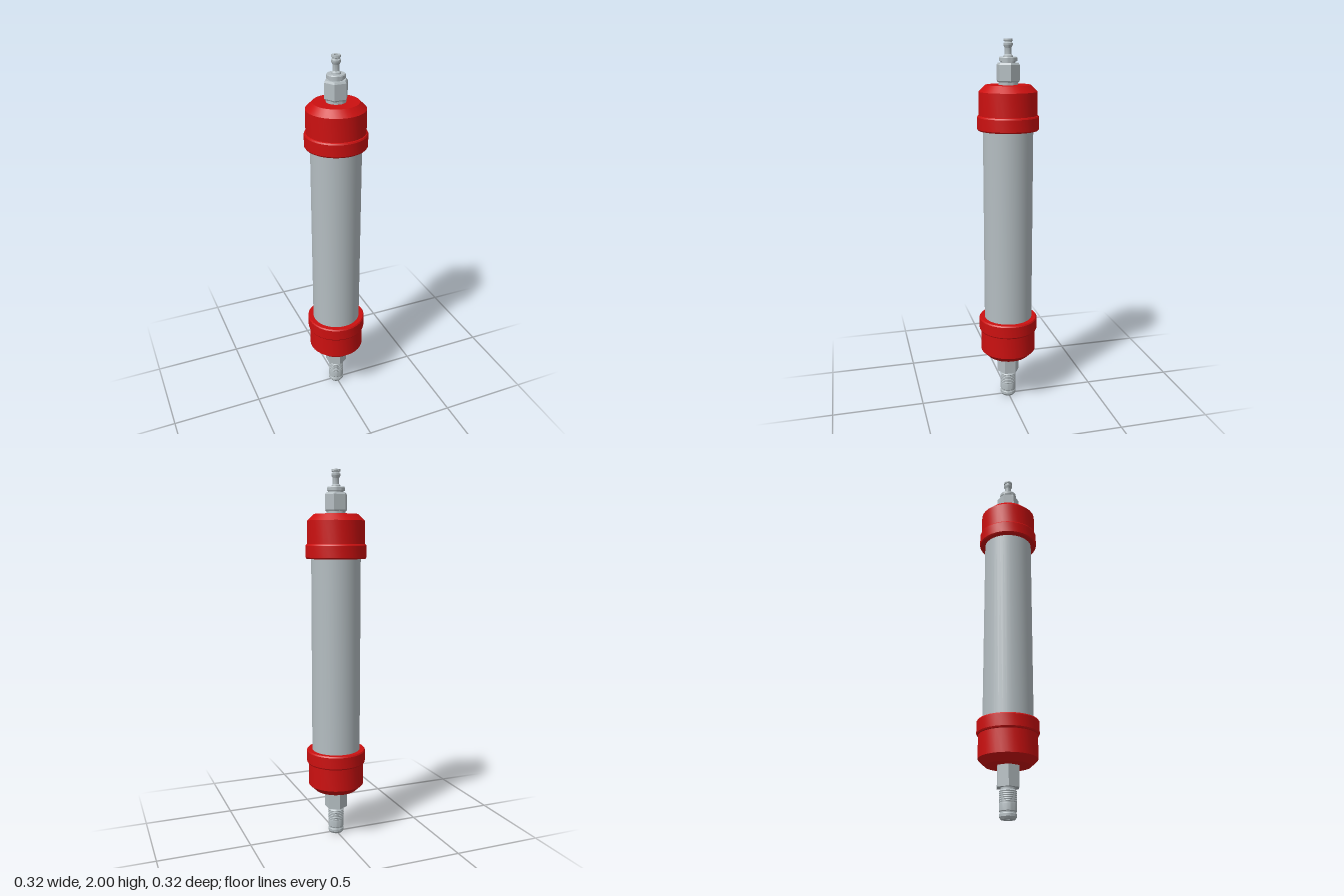
import * as THREE from 'three';
import { toCreasedNormals } from 'three/addons/utils/BufferGeometryUtils.js';

const BORE = 0.011;

export function createModel() {
  const model = new THREE.Group();
  model.name = 'inlineFilter';
  const red = new THREE.MeshStandardMaterial({ color: 0xcc1010 });
  red.name = 'red plastic';
  const grey = new THREE.MeshStandardMaterial({ color: 0xb4bdc1 });
  grey.name = 'grey metal';

  // Hollow turned part: outer profile from bottom to top, closed along an inner bore.
  function turned(name, outer, material, sides = 32, bore = BORE) {
    const bottom = [bore, outer[0][1]];
    const top = [bore, outer[outer.length - 1][1]];
    const points = [bottom, ...outer, top, bottom].map(([r, y]) => new THREE.Vector2(r, y));
    const mesh = new THREE.Mesh(toCreasedNormals(new THREE.LatheGeometry(points, sides), 0.5), material);
    mesh.name = name;
    model.add(mesh);
    return mesh;
  }

  // Main tube
  turned('tubeBody', [[0.132, 0.45], [0.132, 1.58]], grey, 40, 0.118);

  // End caps, mirrored about the middle of the tube
  const cap = [
    [0.134, 1.54], [0.157, 1.54], [0.162, 1.547], [0.162, 1.608], [0.158, 1.615],
    [0.153, 1.617], [0.153, 1.738], [0.118, 1.772],
  ];
  turned('upperCap', cap, red);
  turned('lowerCap', cap.map(([r, y]) => [r, 2.032 - y]).reverse(), red);

  // Upper fitting: neck, hex nut with chamfered ends, collar and hose nipple
  turned('upperNeck', [[0.05, 1.765], [0.05, 1.79]], grey);
  turned('upperNut', [[0.056, 1.785], [0.062, 1.793], [0.062, 1.872], [0.055, 1.882]], grey, 6)
    .rotation.y = Math.PI / 6;
  turned('upperCollar', [[0.038, 1.88], [0.038, 1.888], [0.047, 1.89], [0.047, 1.906], [0.044, 1.911]], grey);
  turned('hoseNipple', [
    [0.026, 1.905], [0.024, 1.918], [0.017, 1.925], [0.017, 1.955], [0.024, 1.968],
    [0.024, 1.978], [0.019, 1.982], [0.019, 1.987], [0.024, 1.99], [0.023, 2.0],
  ], grey, 20);

  // Lower fitting: hex and threaded stem
  turned('lowerNut', [[0.0625, 0.152], [0.0625, 0.265]], grey, 6);
  const stem = [[0.036, 0], [0.044, 0.012], [0.044, 0.025], [0.041, 0.03], [0.041, 0.036], [0.044, 0.04], [0.044, 0.075]];
  for (let y = 0.08; y < 0.135; y += 0.01) stem.push([0.0425, y], [0.0445, y + 0.005]);
  stem.push([0.038, 0.143], [0.038, 0.155]);
  turned('threadedStem', stem, grey);

  return model;
}
